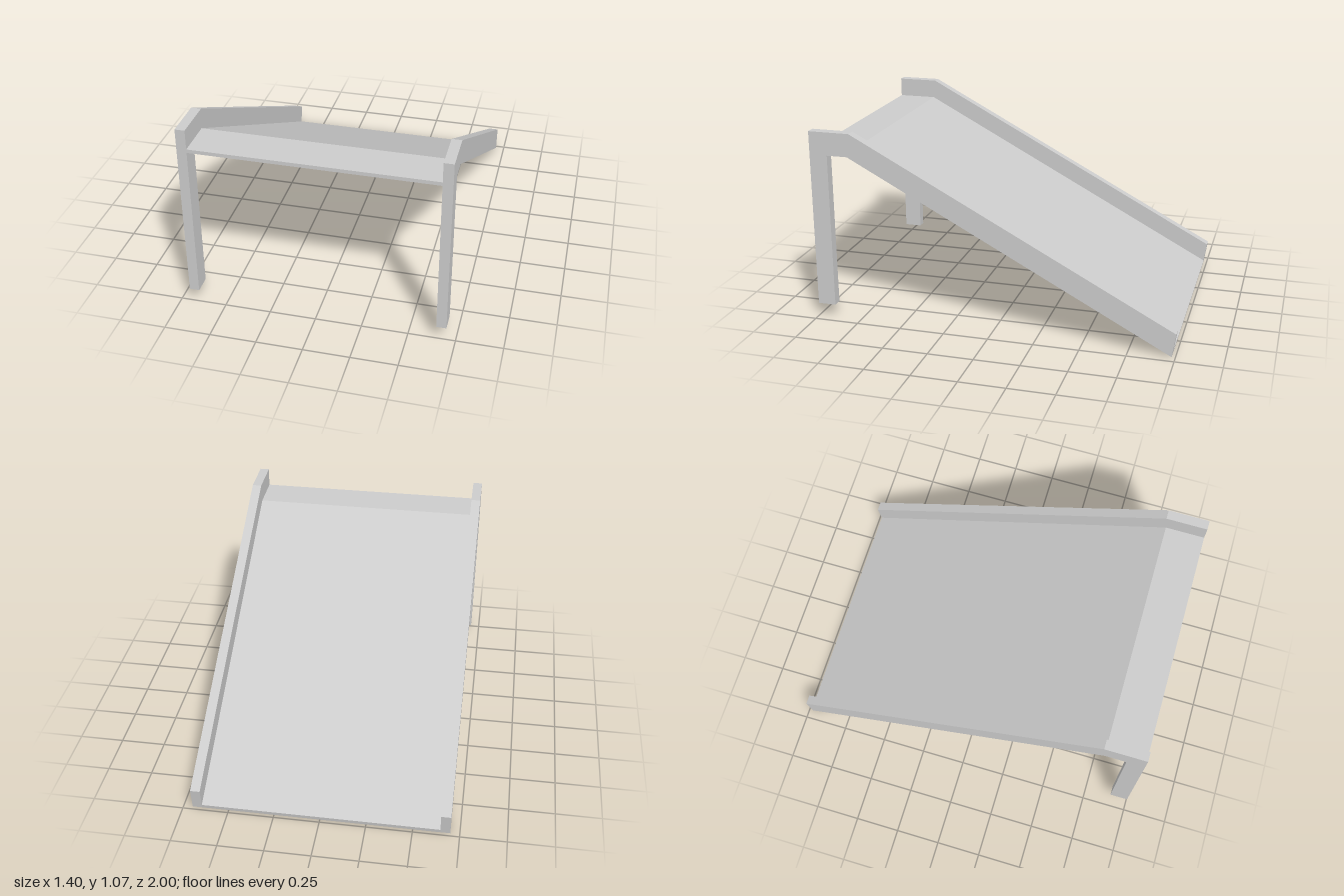
import * as THREE from 'three';

const WIDTH = 1.4;
const RAIL = 0.053;

// Extrudes a side profile of [z, y] points across x, centred on the given x.
function sideProfile(name, points, width, x, material) {
  const shape = new THREE.Shape(points.map(([z, y]) => new THREE.Vector2(z, y)));
  const geometry = new THREE.ExtrudeGeometry(shape, { depth: width, bevelEnabled: false });
  geometry.translate(0, 0, -width / 2);
  geometry.rotateY(-Math.PI / 2);
  geometry.translate(x, 0, 0);
  const mesh = new THREE.Mesh(geometry, material);
  mesh.name = name;
  return mesh;
}

export function createModel() {
  const group = new THREE.Group();
  group.name = 'ramp';
  const grey = new THREE.MeshStandardMaterial({ color: 0xcccccc });
  grey.name = 'light grey';

  // Side rails, each in one piece with its front leg
  const railProfile = [
    [1, 0.073], [1, 1.065], [0.77, 1.065], [-1, 0.13],
    [-0.98, 0], [0.785, 0.937], [0.9, 0.937], [0.9, 0.073],
  ];
  for (const side of [1, -1]) {
    const name = side > 0 ? 'leftRailAndLeg' : 'rightRailAndLeg';
    group.add(sideProfile(name, railProfile, RAIL, side * (WIDTH - RAIL) / 2, grey));
  }

  // Thin deck: level landing at the front, slope down to the back
  const deckProfile = [
    [1, 0.937], [1, 0.957], [0.782, 0.957],
    [-0.984, 0.021], [-0.98, 0], [0.785, 0.937],
  ];
  group.add(sideProfile('deck', deckProfile, WIDTH - 2 * RAIL, 0, grey));

  return group;
}
